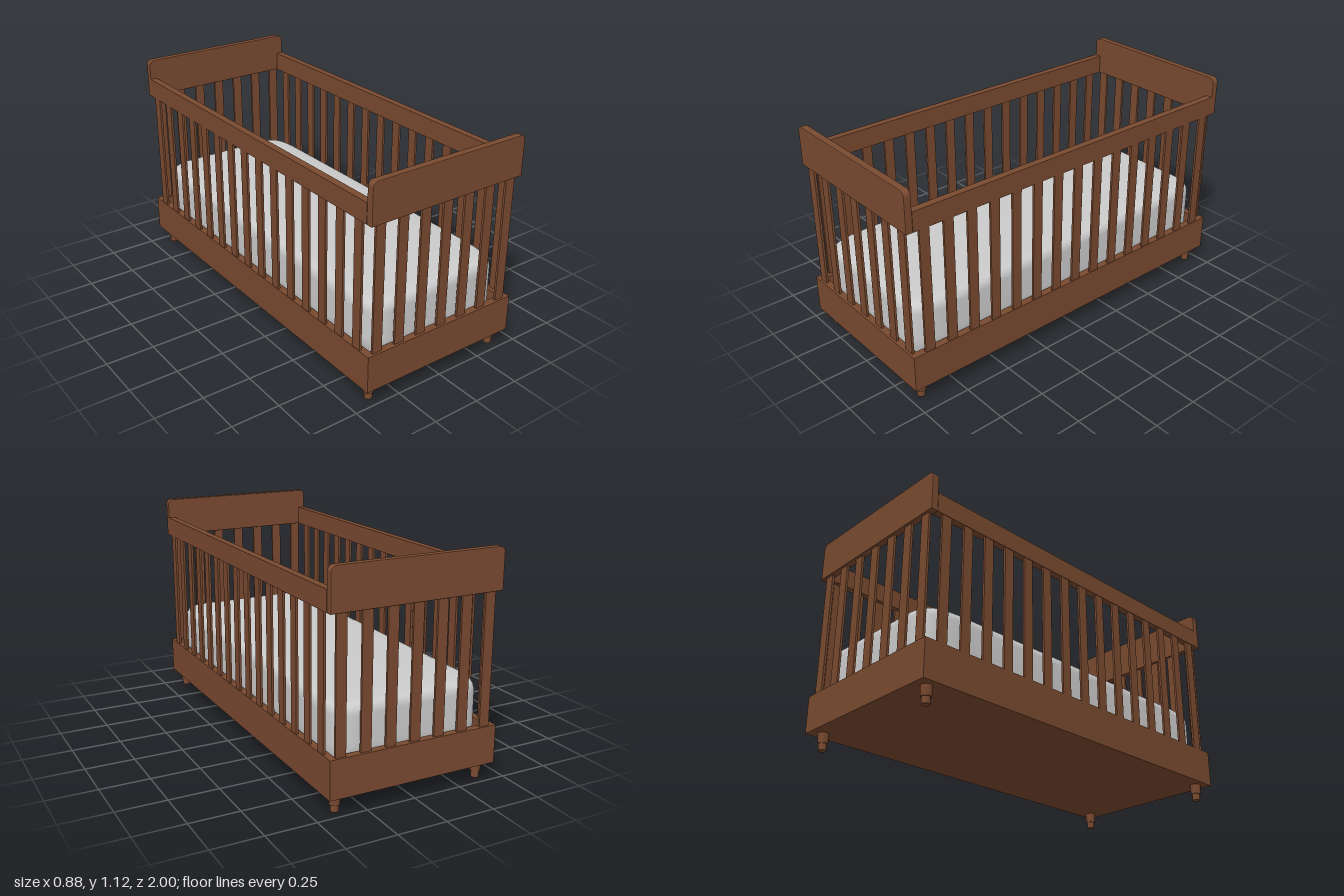
import * as THREE from 'three';

const W = 0.44, L = 1, T = 0.037; // half width, half length, board thickness

export function createModel() {
  const crib = new THREE.Group();
  crib.name = 'crib';
  const wood = new THREE.MeshStandardMaterial({ color: 0x7a4a30 });
  const cloth = new THREE.MeshStandardMaterial({ color: 0xcccccc });

  const add = (name, geometry, x, y, z, material = wood) => {
    const mesh = new THREE.Mesh(geometry, material);
    mesh.name = name;
    mesh.position.set(x, y, z);
    crib.add(mesh);
    return mesh;
  };
  // Box given by its centre in x and z and its bottom and top heights
  const board = (name, w, y0, y1, d, x, z) =>
    add(name, new THREE.BoxGeometry(w, y1 - y0, d), x, (y0 + y1) / 2, z);

  // End board with rounded upper corners and a fine edge bevel
  const b = 0.004, hw = W - b, y0 = 0.92 + b, y1 = 1.125 - b, r = 0.024;
  const outline = new THREE.Shape();
  outline.moveTo(-hw, y0);
  outline.lineTo(hw, y0);
  outline.lineTo(hw, y1 - r);
  outline.absarc(hw - r, y1 - r, r, 0, Math.PI / 2);
  outline.absarc(-hw + r, y1 - r, r, Math.PI / 2, Math.PI);
  const endGeometry = new THREE.ExtrudeGeometry(outline, {
    depth: T - 2 * b, bevelSize: b, bevelThickness: b, bevelSegments: 2, curveSegments: 8,
  });
  endGeometry.translate(0, 0, -(T - 2 * b) / 2);

  // Stepped foot
  const footGeometry = new THREE.LatheGeometry([
    [0, 0], [0.019, 0], [0.02, 0.004], [0.02, 0.034], [0.025, 0.034], [0.028, 0.087],
  ].flatMap(([x, y]) => [new THREE.Vector2(x, y), new THREE.Vector2(x, y)]).slice(1, -1), 24);

  for (const s of [1, -1]) {
    const end = s > 0 ? 'front' : 'back', side = s > 0 ? 'left' : 'right';

    // Head and foot ends
    add(end + 'EndBoard', endGeometry, 0, 0, s * (L - T / 2));
    board(end + 'BaseRail', 2 * W, 0.085, 0.275, T, 0, s * (L - T / 2));
    for (let i = -3; i <= 3; i++)
      board(end + 'Slat', 0.053, 0.27, 0.925, 0.012, i * 0.127, s * 0.982);

    // Long sides
    board(side + 'TopRail', T, 0.92, 1.02, 2 * (L - T), s * (W - T / 2), 0);
    board(side + 'BaseRail', T, 0.085, 0.275, 2 * (L - T), s * (W - T / 2), 0);
    for (let i = -7; i <= 7; i++)
      board(side + 'Slat', 0.012, 0.27, 0.925, 0.053, s * 0.431, i * 0.1293);

    for (const e of [1, -1]) add('foot', footGeometry, s * 0.382, 0, e * 0.936);
  }

  board('bottomPanel', 2 * (W - T), 0.085, 0.115, 2 * (L - T), 0, 0);
  add('mattress', mattressGeometry(), 0, 0, 0, cloth);
  return crib;
}

// Rounded-corner outline lofted upward, then drawn in over a softly domed top
function mattressGeometry() {
  const ex = 0.398, ez = 0.962;
  const ring = [];
  for (const [sx, sz, flip] of [[1, 1, 0], [-1, 1, 1], [-1, -1, 0], [1, -1, 1]]) {
    const corner = new THREE.CubicBezierCurve(
      new THREE.Vector2(ex * sx, 0.78 * sz), new THREE.Vector2(0.39 * sx, 0.91 * sz),
      new THREE.Vector2(0.37 * sx, 0.955 * sz), new THREE.Vector2(0.27 * sx, ez * sz));
    const points = corner.getPoints(12);
    ring.push(...(flip ? points.reverse() : points));
  }
  // Inset and height of each level
  const levels = [[0, 0.115], [0, 0.3], [0, 0.44], [0.004, 0.462], [0.012, 0.478],
    [0.025, 0.489], [0.045, 0.495], [0.1, 0.499], [0.2, 0.502], [0.3, 0.503], [ex, 0.504]];
  const positions = [], index = [], n = ring.length;
  levels.forEach(([inset, y], j) => {
    const kx = (ex - inset) / ex;
    const kz = inset === ex ? 0 : (ez - inset) / ez;
    ring.forEach((p, i) => {
      positions.push(p.x * kx, y, p.y * kz);
      if (j === 0) return;
      const a = (j - 1) * n + i, c = (j - 1) * n + (i + 1) % n;
      index.push(a, a + n, c, c, a + n, c + n);
    });
  });
  // Close the top between the two ends of the centre line, and the underside
  const centre = positions.length / 3;
  positions.push(0, 0.115, 0);
  for (let i = 0; i < n; i++) index.push(centre, i, (i + 1) % n);
  // Spread the last level along a centre line so the dome stays even
  const last = (levels.length - 1) * n;
  ring.forEach((p, i) => { positions[(last + i) * 3 + 2] = p.y * (ez - ex) / ez; });
  const geometry = new THREE.BufferGeometry();
  geometry.setAttribute('position', new THREE.Float32BufferAttribute(positions, 3));
  geometry.setIndex(index);
  geometry.computeVertexNormals();
  return geometry;
}
